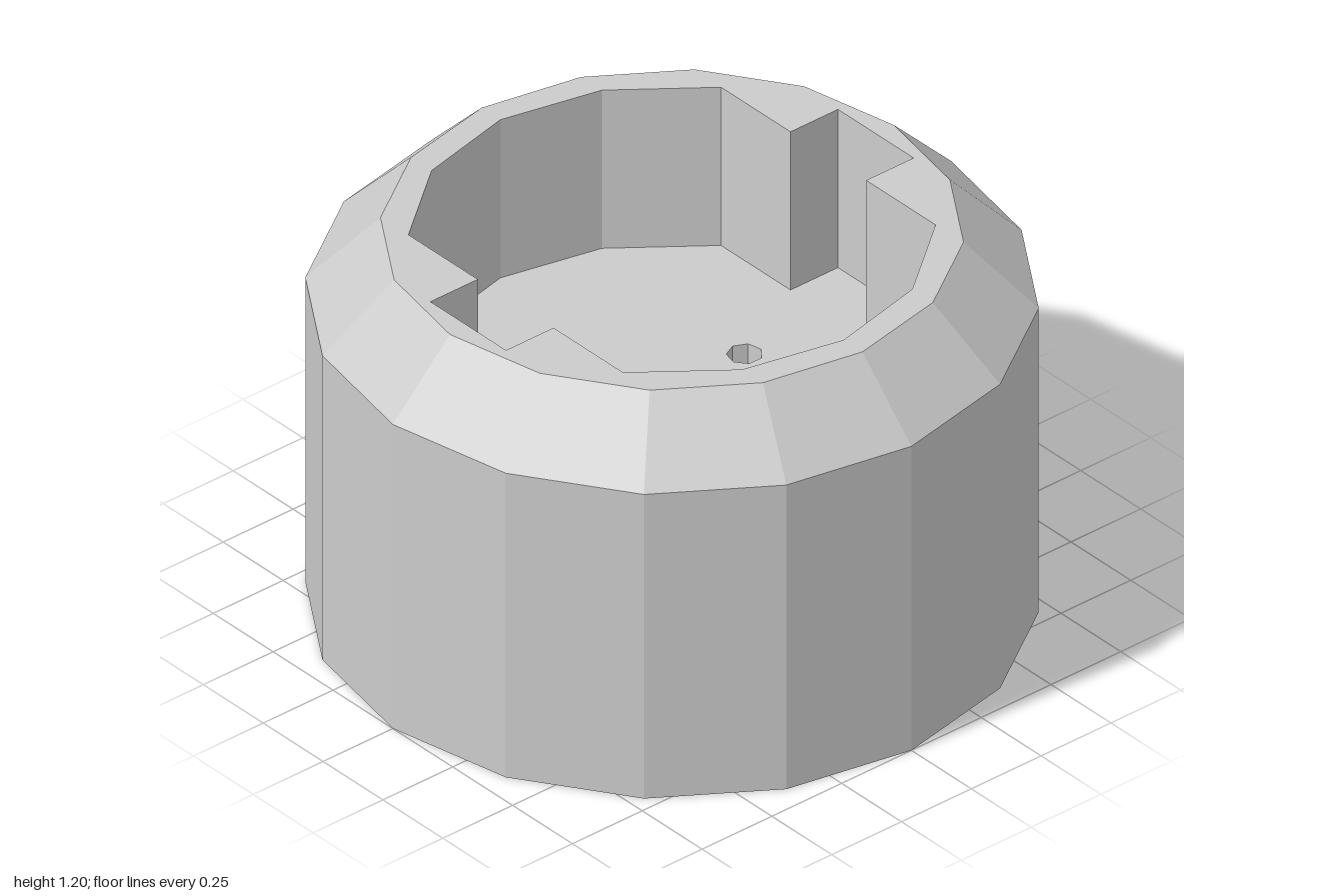
import * as THREE from 'three';

const SIDES = 16, TOP = 1.195, SHOULDER = 0.99, FLOOR = 0.68, HOLE_BOTTOM = 0.28;

// Regular polygon with its first corner pointing to the back, counter-clockwise
function polygon(sides, radius, cx = 0) {
  return Array.from({ length: sides }, (_, i) => {
    const a = Math.PI / 2 + (i / sides) * Math.PI * 2;
    return new THREE.Vector2(cx + radius * Math.cos(a), radius * Math.sin(a));
  });
}

// Horizontal plate facing up, with holes
function plate(outline, holes, y) {
  const shape = new THREE.Shape(outline);
  holes.forEach((h) => shape.holes.push(new THREE.Path(h)));
  return new THREE.ShapeGeometry(shape).rotateX(-Math.PI / 2).translate(0, y, 0);
}

// Vertical walls along a counter-clockwise outline, facing inward
function innerWalls(outline, y0, y1) {
  const pos = [];
  outline.forEach((a, i) => {
    const b = outline[(i + 1) % outline.length];
    pos.push(b.x, y0, -b.y, a.x, y0, -a.y, a.x, y1, -a.y);
    pos.push(b.x, y0, -b.y, a.x, y1, -a.y, b.x, y1, -b.y);
  });
  const g = new THREE.BufferGeometry();
  g.setAttribute('position', new THREE.Float32BufferAttribute(pos, 3));
  g.computeVertexNormals();
  return g;
}

export function createModel() {
  const group = new THREE.Group();
  const material = new THREE.MeshStandardMaterial({
    color: 0xcccccc, flatShading: true, side: THREE.DoubleSide,
  });
  const add = (name, geometry) => {
    const mesh = new THREE.Mesh(geometry, material);
    mesh.name = name;
    group.add(mesh);
  };

  // Faceted housing: closed base, straight side and sloping shoulder
  const profile = [[0, 0], [1, 0], [1, SHOULDER], [0.795, TOP]];
  add('housing', new THREE.LatheGeometry(profile.map(([x, y]) => new THREE.Vector2(x, y)), SIDES));

  // Recess outline: round ends, flat sides and a notch on either side
  const quarter = [[0.73, 0.158], [0.56, 0.158], [0.56, 0.448], [0.305, 0.648]];
  const mirrored = [...quarter].reverse();
  const recess = [
    ...quarter, [0, 0.717],
    ...mirrored.map(([x, y]) => [-x, y]),
    ...quarter.map(([x, y]) => [-x, -y]), [0, -0.717],
    ...mirrored.map(([x, y]) => [x, -y]),
  ].map(([x, y]) => new THREE.Vector2(x, y));

  add('rim', plate(polygon(SIDES, 0.795), [recess], TOP));
  add('recessWalls', innerWalls(recess, FLOOR, TOP));

  // Recess floor with two pin holes
  const holes = [-0.26, 0.26].map((x) => polygon(7, 0.05, x));
  add('recessFloor', plate(recess, holes, FLOOR));
  holes.forEach((hole, i) => {
    const side = i ? 'left' : 'right';
    add(side + 'PinHoleWalls', innerWalls(hole, HOLE_BOTTOM, FLOOR));
    add(side + 'PinHoleBottom', plate(hole, [], HOLE_BOTTOM));
  });

  return group;
}
